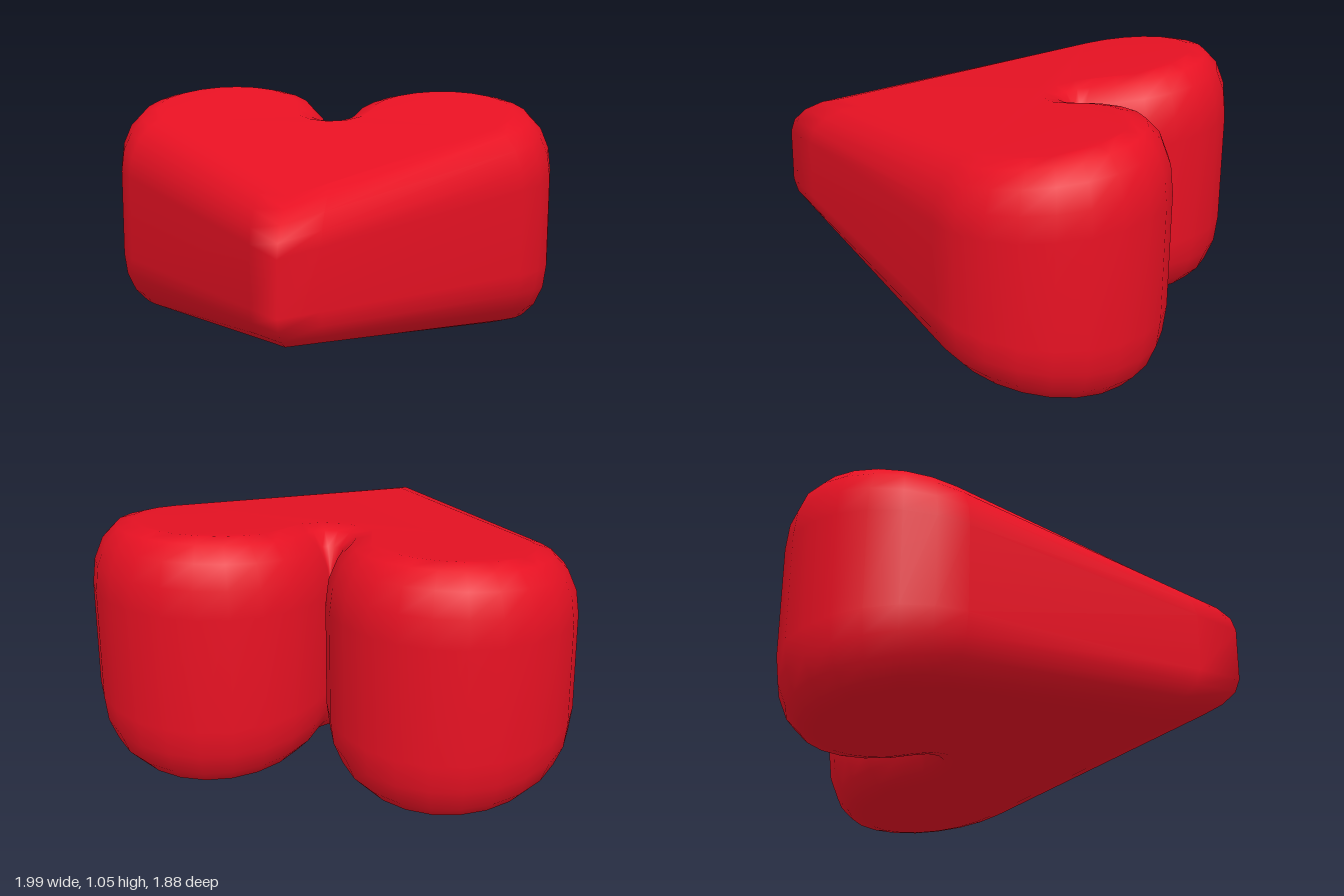
import * as THREE from 'three';

const INSET = 0.17;          // how far the rounded rim reaches inward
const R = 0.5, CZ = -0.44;   // lobe radius and centre depth
const TIP = 0.94;
const MID_Y = 0.527;
const WALL = 0.44;           // share of the half-thickness that is straight wall

// Half-thickness tapers evenly from the lobes to the tip
const halfThickness = (z) => 0.409 - 0.153 * z;

// Half outline: each point carries its position and its inward direction
function halfOutline() {
  const pts = [];
  // notch, rounded as it insets
  for (const deg of [0, 30, 60]) {
    const a = THREE.MathUtils.degToRad(deg);
    pts.push({ x: 0, z: CZ, dx: Math.sin(a), dz: Math.cos(a) });
  }
  // lobe, from the notch around the back to the tangent with the straight side
  const reach = TIP - CZ;
  const end = Math.atan2(reach, -0.5) - Math.acos(R / Math.hypot(0.5, reach));
  const start = -Math.PI, steps = 14;
  for (let i = 0; i <= steps; i++) {
    const a = start + (end - start) * i / steps;
    const c = Math.cos(a), s = Math.sin(a);
    pts.push({ x: 0.5 + R * c, z: CZ + R * s, dx: -c, dz: -s });
  }
  // straight side, with one point close to the tip, then the mitred tip
  const last = pts[pts.length - 1];
  const miter = -1 / Math.sin(end);
  for (const f of [0.84, 1]) {
    pts.push({ x: last.x * (1 - f), z: last.z + (TIP - last.z) * f, dx: 0, dz: miter });
  }
  return pts;
}

function heartGeometry() {
  const half = halfOutline();
  const mirrored = half.slice(1, -1).reverse().map((p) => ({ ...p, x: -p.x, dx: -p.dx }));
  const outline = [...half, ...mirrored];
  const n = outline.length;

  // Rim profile from the bottom face up to the top face
  const profile = [];
  for (const side of [-1, 1]) {
    for (let k = 0; k <= 4; k++) {
      const a = (side < 0 ? 4 - k : k) * Math.PI / 8;
      profile.push({ inset: INSET * (1 - Math.cos(a)), t: side * (WALL + (1 - WALL) * Math.sin(a)) });
    }
  }

  const pos = [], index = [];
  for (const { inset, t } of profile) {
    for (const p of outline) {
      const x = p.x + p.dx * inset, z = p.z + p.dz * inset;
      pos.push(x, MID_Y + t * halfThickness(z), z);
    }
  }
  // Wall and rounded rims
  for (let j = 0; j < profile.length - 1; j++) {
    for (let i = 0; i < n; i++) {
      const a = j * n + i, b = j * n + (i + 1) % n;
      index.push(a, a + n, b, b, a + n, b + n);
    }
  }
  // Top and bottom faces
  const top = (profile.length - 1) * n;
  const flat = outline.map((p) => new THREE.Vector2(p.x + p.dx * INSET, p.z + p.dz * INSET));
  for (const tri of THREE.ShapeUtils.triangulateShape(flat, [])) {
    let [a, b, c] = tri;
    if (THREE.ShapeUtils.area([flat[a], flat[b], flat[c]]) < 0) [b, c] = [c, b];
    index.push(a, b, c, top + a, top + c, top + b);
  }

  const geometry = new THREE.BufferGeometry();
  geometry.setAttribute('position', new THREE.Float32BufferAttribute(pos, 3));
  geometry.setIndex(index);
  geometry.computeVertexNormals();
  return geometry;
}

export function createModel() {
  const red = new THREE.MeshStandardMaterial({ color: 0xe81123 });
  red.name = 'red';
  const heart = new THREE.Mesh(heartGeometry(), red);
  heart.name = 'heart';
  const model = new THREE.Group();
  model.name = 'heartModel';
  model.add(heart);
  return model;
}
